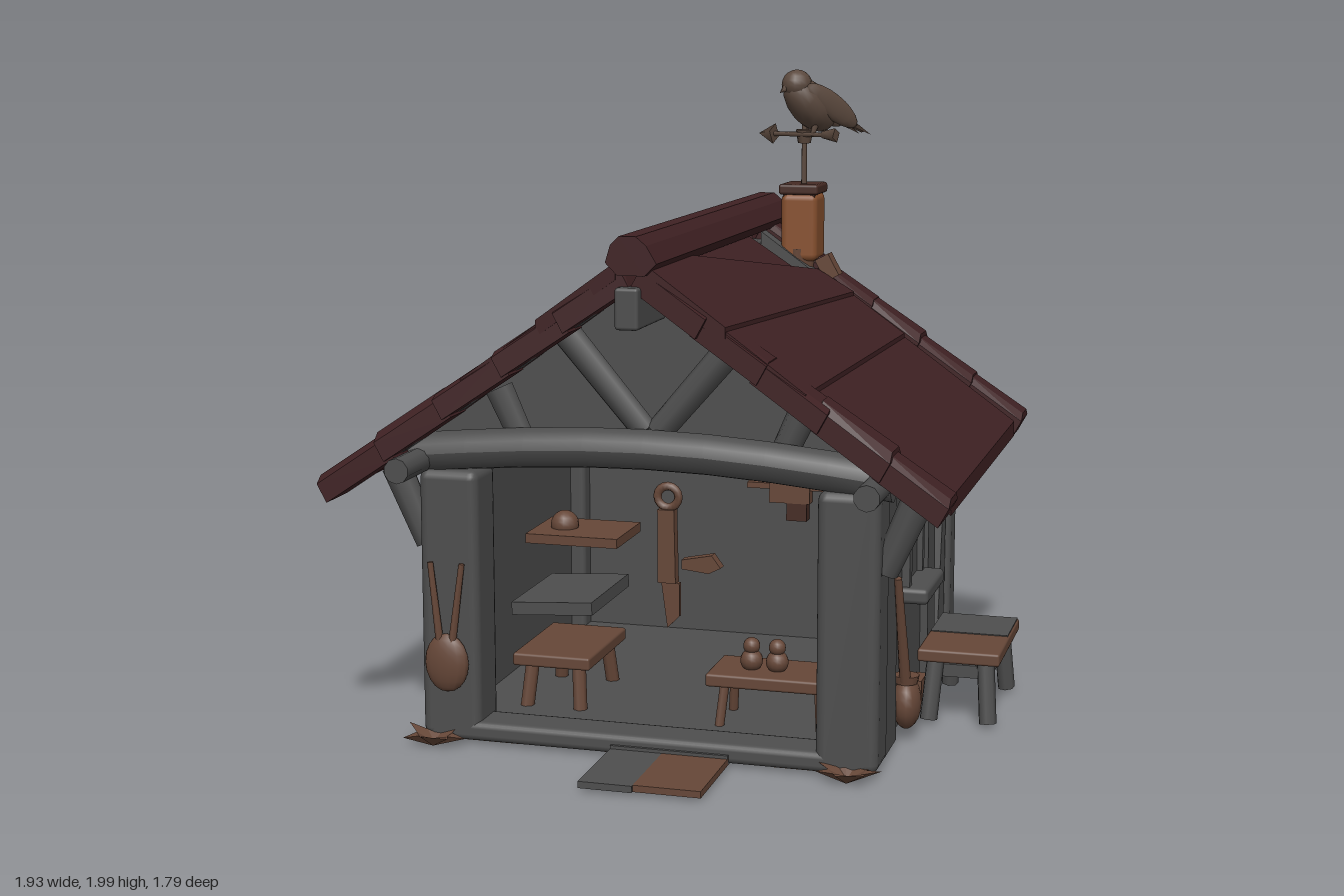
import * as THREE from 'three';
import { RoundedBoxGeometry } from 'three/addons/geometries/RoundedBoxGeometry.js';
import { ConvexGeometry } from 'three/addons/geometries/ConvexGeometry.js';

const V = (x, y, z) => new THREE.Vector3(x, y, z);
const material = (name, color) => Object.assign(new THREE.MeshStandardMaterial({ color }), { name });

export function createModel() {
  const root = new THREE.Group();
  root.name = 'workshopHut';
  const grey = material('weatheredGrey', 0x4e4e4e);
  const red = material('roofRed', 0x3f2123);
  const brown = material('woodBrown', 0x664738);
  const floorBrown = material('floorBrown', 0x876049);
  const orange = material('clayOrange', 0x88512f);
  const dark = material('darkBrown', 0x462b24);
  const bronze = material('bronze', 0x5a483d);

  let seed = 7;
  const jitter = (a) => { seed = (seed * 16807) % 2147483647; return (seed / 2147483647 - 0.5) * 2 * a; };

  const add = (name, geo, mat, parent = root) => {
    const m = new THREE.Mesh(geo, mat);
    m.name = name;
    parent.add(m);
    return m;
  };
  // Box given by its minimum and maximum corners; r rounds the edges
  const box = (name, x0, x1, y0, y1, z0, z1, mat, r = 0) => {
    const s = [x1 - x0, y1 - y0, z1 - z0];
    const m = add(name, r ? new RoundedBoxGeometry(...s, 2, r) : new THREE.BoxGeometry(...s), mat);
    m.position.set((x0 + x1) / 2, (y0 + y1) / 2, (z0 + z1) / 2);
    return m;
  };
  // Round bar between two points; bend lifts its middle
  const rod = (name, a, b, r0, r1, mat, sides = 10, bend = 0, parent = root) => {
    const d = b.clone().sub(a), len = d.length();
    const g = new THREE.CylinderGeometry(r1, r0, len, sides, bend ? 8 : 1);
    g.applyQuaternion(new THREE.Quaternion().setFromUnitVectors(V(0, 1, 0), d.clone().normalize()));
    const mid = a.clone().add(b).multiplyScalar(0.5);
    g.translate(mid.x, mid.y, mid.z);
    if (bend) {
      const p = g.attributes.position;
      for (let i = 0; i < p.count; i++) {
        const t = V(p.getX(i), p.getY(i), p.getZ(i)).sub(a).dot(d) / (len * len);
        p.setY(i, p.getY(i) + bend * Math.sin(Math.PI * Math.min(1, Math.max(0, t))));
      }
      g.computeVertexNormals();
    }
    return add(name, g, mat, parent);
  };
  // Ellipsoid with centre, half sizes and tilt
  const blob = (name, x, y, z, a, b, c, mat, tilt = 0, parent = root) => {
    const m = add(name, new THREE.SphereGeometry(1, 14, 10), mat, parent);
    m.position.set(x, y, z);
    m.scale.set(a, b, c);
    m.rotation.z = tilt;
  };
  const hull = (name, pts, mat, parent = root) => add(name, new ConvexGeometry(pts), mat, parent);
  // Flat outline in x and y, thickened along z
  const plate = (name, pts, z0, z1, mat) => {
    const g = new THREE.ExtrudeGeometry(new THREE.Shape(pts.map((p) => new THREE.Vector2(...p))), { depth: z1 - z0, bevelEnabled: false });
    return add(name, g.translate(0, 0, z0), mat);
  };

  // Floor and walls
  box('floor', -0.63, 0.63, 0.03, 0.06, -0.71, 0.55, grey);
  for (let i = 0; i < 5; i++) box('floorPlank', -0.65 + i * 0.26, -0.393 + i * 0.26, 0.015 + (i % 2) * 0.005, 0.035, -0.72, 0.55, floorBrown);
  box('backWall', -0.7, 0.7, 0.02, 0.88, -0.735, -0.68, grey, 0.02);
  box('backSkirt', -0.6, 0.6, 0.012, 0.025, -0.74, -0.72, red);
  const gable = [[-0.72, 0.86], [0.72, 0.86], [0.72, 0.92], [0, 1.44], [-0.72, 0.92]];
  plate('frontGable', gable, 0.42, 0.46, grey);
  plate('backGable', gable, -0.62, -0.58, grey);

  for (const s of [-1, 1]) {
    const bar = (name, x0, x1, ...rest) => box(name, Math.min(s * x0, s * x1), Math.max(s * x0, s * x1), ...rest);
    bar('sideWall', 0.63, 0.665, 0.02, 0.94, -0.72, 0.5, grey);
    bar('frontPost', 0.515, 0.7, 0.022, 0.85, 0.41, 0.58, grey, 0.03);
    bar('rearPost', 0.58, 0.705, 0.022, 0.88, -0.735, -0.62, grey, 0.02);
    // Crooked wall planks: bottom z range, top z range, height
    for (const [b0, b1, t0, t1, y] of [[0.23, 0.41, 0.28, 0.4, 0.86], [-0.44, -0.3, -0.38, -0.27, 0.86], [-0.6, -0.46, -0.61, -0.55, 0.58]]) {
      const pts = [];
      for (const x of [0.64, 0.69]) pts.push(V(s * x, 0.025, b0), V(s * x, 0.025, b1), V(s * x, y, t0), V(s * x, y, t1));
      hull('wallPlank', pts, grey);
    }
    // Window frame, pane and sill
    bar('windowJamb', 0.65, 0.69, 0.44, 0.71, 0.0, 0.04, grey);
    bar('windowJamb', 0.65, 0.69, 0.44, 0.71, -0.21, -0.18, grey);
    bar('windowHead', 0.65, 0.69, 0.68, 0.71, -0.21, 0.04, grey);
    bar('windowPane', 0.655, 0.672, 0.44, 0.69, -0.19, 0.01, grey);
    bar('windowSill', 0.64, 0.75, 0.4, 0.45, -0.24, 0.06, grey, 0.015);
    // Purlin and eave braces
    rod('eavePurlin', V(s * 0.695, 0.875, -0.88), V(s * 0.695, 0.875, 0.75), 0.038, 0.038, grey);
    for (const z of [0.5, -0.7]) rod('eaveBrace', V(s * 0.7, 0.61, z), V(s * 0.8, 0.84, z), 0.04, 0.048, grey, 8);
    // Gable struts
    rod('gableStrut', V(s * 0.02, 0.98, 0.48), V(s * 0.26, 1.26, 0.48), 0.04, 0.045, grey, 8);
    rod('sideStrut', V(s * 0.4, 0.94, 0.49), V(s * 0.47, 1.09, 0.49), 0.04, 0.045, grey, 8);
    rod('rearStrut', V(s * 0.02, 0.95, -0.64), V(s * 0.26, 1.24, -0.64), 0.035, 0.04, grey, 8);
  }

  // Main beams
  rod('frontBeam', V(-0.73, 0.89, 0.53), V(0.73, 0.88, 0.53), 0.06, 0.06, grey, 12, 0.05);
  rod('backBeam', V(-0.73, 0.88, -0.7), V(0.73, 0.88, -0.7), 0.05, 0.05, grey, 12, 0.04);
  box('frontSill', -0.68, 0.68, 0.02, 0.08, 0.44, 0.58, grey, 0.02);
  box('ridgeBeam', -0.035, 0.035, 1.31, 1.43, -0.73, 0.73, grey, 0.01);
  box('doorstep', -0.1, 0.26, 0.02, 0.05, 0.56, 0.59, grey);

  // Roof planks: outline as distance from the ridge and z, then lift
  const slope = 0.72, roofY = (u) => 1.5 - slope * u;
  const slabs = [
    ['middleRoofPlank', [[0.53, -0.67], [0.25, -0.66], [0.22, 0.69], [0.51, 0.7]], 0.015],
    ['upperRoofPlank', [[0.36, -0.66], [0.25, -0.6], [0.04, 0.42], [0.04, 0.7], [0.28, 0.7]], 0.028],
    ['ridgeRoofPlank', [[0.28, -0.52], [0.04, -0.46], [0.04, 0.6], [0.28, 0.6]], 0],
  ];
  // Solid strip along one roof side
  const slab = (name, s, quad, lift, thick, mat) => {
    const pts = [];
    for (const [u, z] of quad) for (const t of [0, -thick]) pts.push(V(s * u, roofY(u) + lift + t, z));
    hull(name, pts, mat);
  };
  const strip = (u0, u1, z0, z1) => [[u0, z0], [u1, z0], [u1, z1], [u0, z1]];
  for (const s of [-1, 1]) {
    const eave = s > 0 ? 0.9 : 0.935;
    slab('lowerRoofPlank', s, strip(0.48, eave, -0.685, 0.575), 0, 0.05, red);
    for (const [name, quad, lift] of slabs) slab(name, s, quad, lift, 0.05, red);
    for (const z of [0.6, -0.69]) slab('rafter', s, strip(0.04, 0.87, z - 0.03, z + 0.03), -0.01, 0.06, grey);
    // Overlapping edge tiles, each flaring toward the eave
    const step = (eave - 0.03) / 5;
    for (const z of [0.635, -0.785]) {
      for (let i = 0; i < 5; i++) {
        const u0 = 0.03 + i * step, u1 = u0 + step + 0.025 + jitter(0.01), h = 0.012 + (z < 0 || i > 2 ? 0.012 : 0) + jitter(0.005);
        const pts = [];
        for (const [u, w, up] of [[u0, 0.06, 0], [u1, 0.075 + jitter(0.008), 0.01]]) {
          const y = roofY(u) + up;
          pts.push(V(s * u, y + h, z - w * 0.6), V(s * u, y + h, z + w * 0.6), V(s * u, y, z - w), V(s * u, y, z + w),
            V(s * (u - 0.03), y - 0.055, z - w), V(s * (u - 0.03), y - 0.055, z + w));
        }
        hull('edgeTile', pts, red);
      }
    }
  }
  slab('rafterPatch', 1, strip(0.26, 0.42, -0.73, -0.665), 0, 0.06, brown);
  // Ridge cap
  plate('ridgeCap', [[-0.06, 1.5], [-0.025, 1.465], [0.055, 1.465], [0.09, 1.5], [0.06, 1.55], [0.03, 1.575], [-0.02, 1.575], [-0.045, 1.55]], -0.88, 0.73, red);

  // Chimney with its tapering lower end
  box('chimney', 0.1, 0.225, 1.36, 1.59, -0.825, -0.675, orange, 0.025);
  box('chimneyNeck', 0.108, 0.217, 1.56, 1.6, -0.815, -0.685, dark);
  box('chimneyCap', 0.095, 0.23, 1.585, 1.62, -0.83, -0.67, dark, 0.01);
  rod('chimneyRoot', V(0.15, 0.97, -0.7), V(0.16, 1.4, -0.73), 0.015, 0.062, brown, 7);
  box('chimneyWedge', 0.25, 0.3, 1.31, 1.39, -0.68, -0.62, brown).rotation.z = 0.5;

  // Weather vane
  rod('vanePole', V(0.17, 1.61, -0.73), V(0.17, 1.84, -0.73), 0.01, 0.008, bronze, 8);
  rod('vaneHub', V(0.17, 1.755, -0.73), V(0.17, 1.8, -0.73), 0.022, 0.03, bronze, 8);
  rod('arrowShaft', V(0.05, 1.785, -0.74), V(0.28, 1.785, -0.68), 0.008, 0.008, bronze, 6);
  rod('arrowHead', V(0.065, 1.785, -0.735), V(0.01, 1.785, -0.75), 0.035, 0.001, bronze, 4);
  rod('arrowTail', V(0.24, 1.785, -0.69), V(0.29, 1.785, -0.675), 0.012, 0.025, bronze, 4);

  // Bird, modelled facing +x and then turned
  const bird = new THREE.Group();
  bird.name = 'bird';
  bird.position.set(0.2, 0, -0.73);
  bird.rotation.y = -Math.PI * 0.75;
  root.add(bird);
  blob('birdBody', 0.015, 1.885, 0, 0.115, 0.068, 0.062, bronze, 0.75, bird);
  blob('birdHead', 0.065, 1.95, 0, 0.052, 0.05, 0.048, bronze, 0, bird);
  rod('beak', V(0.1, 1.945, 0), V(0.13, 1.925, 0), 0.018, 0.001, bronze, 6, 0, bird);
  for (const s of [-1, 1]) {
    blob('wing', -0.045, 1.88, s * 0.045, 0.12, 0.042, 0.018, bronze, 0.6, bird);
    rod('birdLeg', V(0.02, 1.78, s * 0.025), V(0, 1.84, s * 0.025), 0.007, 0.014, bronze, 6, 0, bird);
  }
  for (const s of [-1, 0, 1])
    hull('tailFeather', [V(-0.06, 1.88, s * 0.02 - 0.02), V(-0.06, 1.88, s * 0.02 + 0.02), V(-0.06, 1.84, s * 0.02),
      V(-0.2, 1.79 - Math.abs(s) * 0.01, s * 0.035 - 0.012), V(-0.2, 1.785, s * 0.035 + 0.012)], bronze, bird);

  // Tables: x and z ranges, top height, colours of top and legs, leg radius
  const table = (name, x0, x1, z0, z1, y, topMat, legMat, r) => {
    box(name + 'Top', x0, x1, y - 0.04, y, z0, z1, topMat, 0.008);
    for (const [x, dx] of [[x0, 1], [x1, -1]]) for (const [z, dz] of [[z0, 1], [z1, -1]])
      rod(name + 'Leg', V(x + dx * 0.035, 0.02, z + dz * 0.02), V(x + dx * 0.05, y - 0.03, z + dz * 0.05), r, r, legMat, 7);
  };
  // Bench by the side wall, half its seat weathered
  table('bench', 0.71, 0.965, -0.44, 0.005, 0.247, brown, grey, 0.028);
  box('benchWeathering', 0.715, 0.96, 0.245, 0.25, -0.435, -0.21, grey);
  box('benchStretcher', 0.75, 0.93, 0.15, 0.19, -0.39, -0.05, grey);
  box('benchFootBlock', 0.66, 0.7, 0.025, 0.1, -0.24, -0.14, brown);

  // Inside furniture
  table('stool', -0.5, -0.25, -0.05, 0.33, 0.23, brown, brown, 0.022);
  table('workTable', 0.13, 0.52, 0.15, 0.37, 0.225, brown, brown, 0.015);
  for (const x of [0.25, 0.33]) {
    blob('pot', x, 0.25, 0.27, 0.035, 0.035, 0.035, brown);
    blob('potLid', x, 0.295, 0.27, 0.026, 0.026, 0.026, brown);
  }
  box('greyShelf', -0.5, -0.24, 0.36, 0.4, -0.05, 0.33, grey).rotation.z = 0.06;
  box('brownShelf', -0.5, -0.2, 0.55, 0.58, -0.05, 0.2, brown);
  blob('shelfBowl', -0.41, 0.59, 0.08, 0.045, 0.045, 0.045, brown);

  // Hanging tools
  const ring = add('toolRing', new THREE.TorusGeometry(0.035, 0.014, 6, 16), brown);
  ring.position.set(-0.12, 0.66, -0.09);
  plate('knifeHandle', [[-0.15, 0.38], [-0.09, 0.38], [-0.095, 0.62], [-0.15, 0.62]], -0.11, -0.07, brown);
  plate('knifeBlade', [[-0.14, 0.38], [-0.12, 0.23], [-0.08, 0.27], [-0.08, 0.38]], -0.1, -0.08, brown);
  plate('hatchet', [[-0.07, 0.43], [0.02, 0.42], [0.06, 0.44], [0.03, 0.48], [-0.07, 0.46]], -0.11, -0.07, brown);
  rod('wallRod', V(-0.46, 0.71, -0.66), V(-0.04, 0.71, -0.66), 0.012, 0.012, brown, 6);
  rod('wallRod', V(0.07, 0.73, -0.66), V(0.43, 0.73, -0.66), 0.01, 0.01, brown, 6);
  rod('wallRod', V(0.1, 0.755, -0.66), V(0.24, 0.76, -0.66), 0.012, 0.012, brown, 6);
  box('clampBar', 0.0, 0.29, 0.585, 0.605, -0.68, -0.64, brown);
  box('clampBody', 0.08, 0.22, 0.54, 0.61, -0.68, -0.63, brown);
  box('clampGrip', 0.14, 0.21, 0.48, 0.54, -0.68, -0.63, dark);

  // Paddle with two handles on the front post
  blob('paddle', -0.61, 0.265, 0.595, 0.07, 0.09, 0.03, brown);
  for (const s of [-1, 1]) rod('paddleHandle', V(-0.61 + s * 0.02, 0.33, 0.6), V(-0.61 + s * 0.05, 0.57, 0.59), 0.012, 0.009, brown, 6);

  // Round pot with a long ladle against the side wall
  blob('sidePot', 0.71, 0.125, 0.17, 0.045, 0.08, 0.07, brown);
  rod('potRim', V(0.71, 0.19, 0.18), V(0.71, 0.215, 0.18), 0.035, 0.04, brown, 10);
  rod('ladleHandle', V(0.71, 0.2, 0.2), V(0.7, 0.54, 0.29), 0.018, 0.012, brown, 8);

  // Door board, half weathered
  box('doorBoard', -0.1, 0.06, 0.02, 0.04, 0.57, 0.89, grey);
  box('doorBoardBrown', 0.06, 0.26, 0.02, 0.04, 0.57, 0.88, brown);

  // Dry leaves at the front corners
  for (const x of [-0.65, 0.62]) for (let i = 0; i < 7; i++) {
    const a = i * 0.9, c = Math.cos(a), n = Math.sin(a);
    hull('dryLeaf', [V(x, 0.02, 0.61), V(x + c * 0.05 - n * 0.025, 0.045, 0.61 + n * 0.04 + c * 0.02),
      V(x + c * 0.05 + n * 0.025, 0.045, 0.61 + n * 0.04 - c * 0.02), V(x + c * 0.1, 0.045 + jitter(0.025), 0.61 + n * 0.06), V(x, 0.01, 0.62)], brown);
  }
  return root;
}
